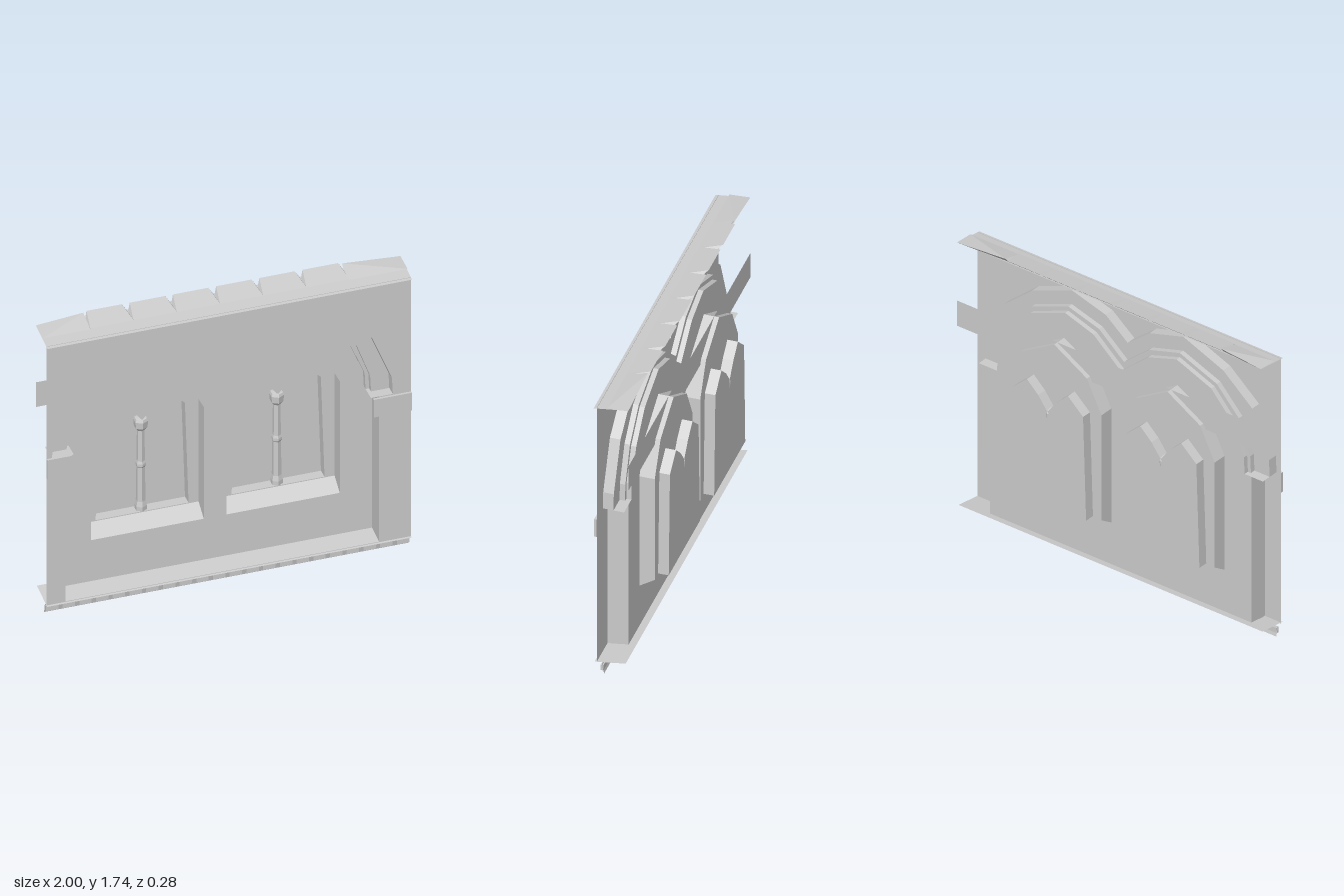
import * as THREE from 'three';

const material = new THREE.MeshStandardMaterial({ color: 0xcccccc, flatShading: true, side: THREE.DoubleSide });
const AXIS = -0.035; // the arcade sits slightly off centre

export function createModel() {
  const group = new THREE.Group();
  const add = (name, geometry, parent = group) => {
    const mesh = new THREE.Mesh(geometry, material);
    mesh.name = name;
    parent.add(mesh);
    return mesh;
  };

  // Flat face at depth z, with optional holes
  const plate = (points, z, holes = []) => {
    const toPath = (p, Type) => new Type(p.map(([x, y]) => new THREE.Vector2(x, y)));
    const shape = toPath(points, THREE.Shape);
    shape.holes = holes.map((h) => toPath(h, THREE.Path));
    return new THREE.ShapeGeometry(shape).translate(0, 0, z);
  };

  // Skin through outlines of equal length, each at its own depth
  const loft = (sections, closed) => {
    const n = sections[0][0].length;
    const position = [], index = [];
    for (const [points, z] of sections) for (const [x, y] of points) position.push(x, y, z);
    for (let s = 0; s < sections.length - 1; s++) {
      for (let i = 0; i < (closed ? n : n - 1); i++) {
        const a = s * n + i, b = s * n + (i + 1) % n;
        index.push(a, b, a + n, b, b + n, a + n);
      }
    }
    const geometry = new THREE.BufferGeometry();
    geometry.setAttribute('position', new THREE.Float32BufferAttribute(position, 3));
    geometry.setIndex(index);
    geometry.computeVertexNormals();
    return geometry;
  };

  // Mirror a half outline (outside to centre) about a vertical line
  const mirrored = (half, cx) => [
    ...half.map(([u, y]) => [cx - u, y]),
    ...half.slice(0, -1).reverse().map(([u, y]) => [cx + u, y]),
  ];
  const rect = (x0, y0, x1, y1) => [[x0, y0], [x1, y0], [x1, y1], [x0, y1]];
  const box = (name, x0, x1, y0, y1, z0, z1) =>
    add(name, new THREE.BoxGeometry(x1 - x0, y1 - y0, z1 - z0)
      .translate((x0 + x1) / 2, (y0 + y1) / 2, (z0 + z1) / 2));
  const sheet = (name, y0, z0, y1, z1, x0 = -1, x1 = 1) =>
    add(name, loft([[[[x0, y0], [x1, y0]], z0], [[[x0, y1], [x1, y1]], z1]], false));

  // Twin arch outlines, each order stepping inward
  const outerHalf = [[0.935, 0.98], [0.93, 1.08], [0.82, 1.355], [0.63, 1.515], [0.367, 1.62], [0.145, 1.556], [0, 1.44]];
  const middleHalf = [[0.835, 0.98], [0.83, 1.08], [0.755, 1.285], [0.61, 1.44], [0.367, 1.535], [0.165, 1.476], [0, 1.337]];
  const innerHalf = [[0.815, 0.98], [0.81, 1.08], [0.735, 1.265], [0.595, 1.42], [0.367, 1.51], [0.18, 1.45], [0, 1.295]];
  const jamb = [[0.86, 0.07], [0.86, 0.98]];
  const [outer, middle, inner] = [outerHalf, middleHalf, innerHalf].map((h) => mirrored(h, AXIS));

  add('frontWall', plate(rect(-1, 0.06, 1, 1.69), 0.128, [mirrored([...jamb, ...outerHalf], AXIS)]));
  add('archMoulding', loft([[outer, 0.128], [outer, 0.07], [middle, 0.07], [middle, 0.04], [inner, 0.04], [inner, 0.012]], false));

  // Windows: sloped sill, tracery plate, twin lancet niche and a column each
  const centres = [AXIS - 0.373, AXIS + 0.373];
  const windowOutline = (cx, sill) =>
    mirrored([[0.31, sill], [0.31, 1.04], [0.215, 1.23], [0, 1.355]], cx);
  add('recessedWall', plate(mirrored([...jamb, ...innerHalf], AXIS), 0.012, centres.map((cx) => windowOutline(cx, 0.34))));

  const columnProfile = [[0, 0.405], [0.033, 0.405], [0.033, 0.43], [0.026, 0.46], [0.023, 0.67], [0.028, 0.68],
    [0.028, 0.695], [0.023, 0.71], [0.02, 0.9], [0.036, 0.92], [0.04, 0.96], [0.034, 0.975], [0, 0.98]]
    .map(([r, y]) => new THREE.Vector2(r, y));

  for (const cx of centres) {
    const win = new THREE.Group();
    win.name = 'window';
    group.add(win);
    const back = windowOutline(cx, 0.395);
    const niche = mirrored([[0.255, 0.4], [0.235, 1.03], [0.135, 1.12], [0.06, 1.05], [0, 0.97]], cx);
    add('windowReveal', loft([[windowOutline(cx, 0.34), 0.012], [back, -0.072]], true), win);
    add('tracery', plate(back, -0.072, [niche]), win);
    add('lancetReveal', loft([[niche, -0.072], [niche, -0.13]], true), win);
    add('lancetPanel', plate(niche, -0.13), win);
    add('column', new THREE.LatheGeometry(columnProfile, 6), win).position.set(cx, 0, -0.095);
  }

  // Band across the back of the window heads
  add('backBand', plate(rect(-1, 1.2, 1, 1.355), -0.045));

  // Pier returns, the ledges the arches spring from, and shallow imposts
  for (const s of [-1, 1]) {
    const x = AXIS + s * 0.86;
    add('pierReturn', loft([[[[x, 0.07], [x, 0.98]], 0.128], [[[x, 0.07], [x, 0.98]], 0.012]], false));
    sheet('archSpringing', 0.98, 0.128, 0.98, 0.012, AXIS + s * 0.935, AXIS + s * 0.815);
  }
  box('leftImpost', 0.79, 1, 0.865, 0.975, 0.129, 0.143);
  box('rightImpost', -1, -0.865, 0.865, 0.985, 0.129, 0.143);

  // Cornice with a row of tapered blocks, their tops rising to the back
  sheet('corniceLedge', 1.685, 0.145, 1.71, -0.035);
  const pitch = 0.237;
  for (let i = 0; i < 6; i++) {
    const geometry = new THREE.BoxGeometry(pitch, 0.03, 0.08);
    const p = geometry.attributes.position;
    for (let v = 0; v < p.count; v++) {
      const rear = p.getZ(v) < 0;
      if (p.getY(v) > 0) p.setXYZ(v, p.getX(v) * (rear ? 0.82 : 1), rear ? 0.015 : -0.01, rear ? -0.075 : 0.05);
    }
    add('corniceBlock', geometry).position.set(-0.74 + pitch * (i + 0.5), 1.72, 0.02);
  }
  for (const [x, end] of [[-0.74, -1], [0.68, 1]]) {
    const low = [[x, 1.705], [end, 1.705]], high = [[x, 1.735], [end, 1.712]];
    add('corniceEnd', loft([[low, 0.07], [high, -0.045], [low, -0.02]], false));
  }

  // Plinth ledge, with a row of dentils on a slightly tilted strip below it
  sheet('plinthLedge', 0.065, 0.14, 0.09, -0.03);
  sheet('dentilStrip', 0.058, 0.1, 0, 0.088);
  for (let i = 0; i < 22; i++) {
    const x = -0.963 + i * 0.0917;
    box('dentil', x - 0.034, x + 0.034, 0.016, 0.05, 0.092, 0.108);
  }
  return group;
}
